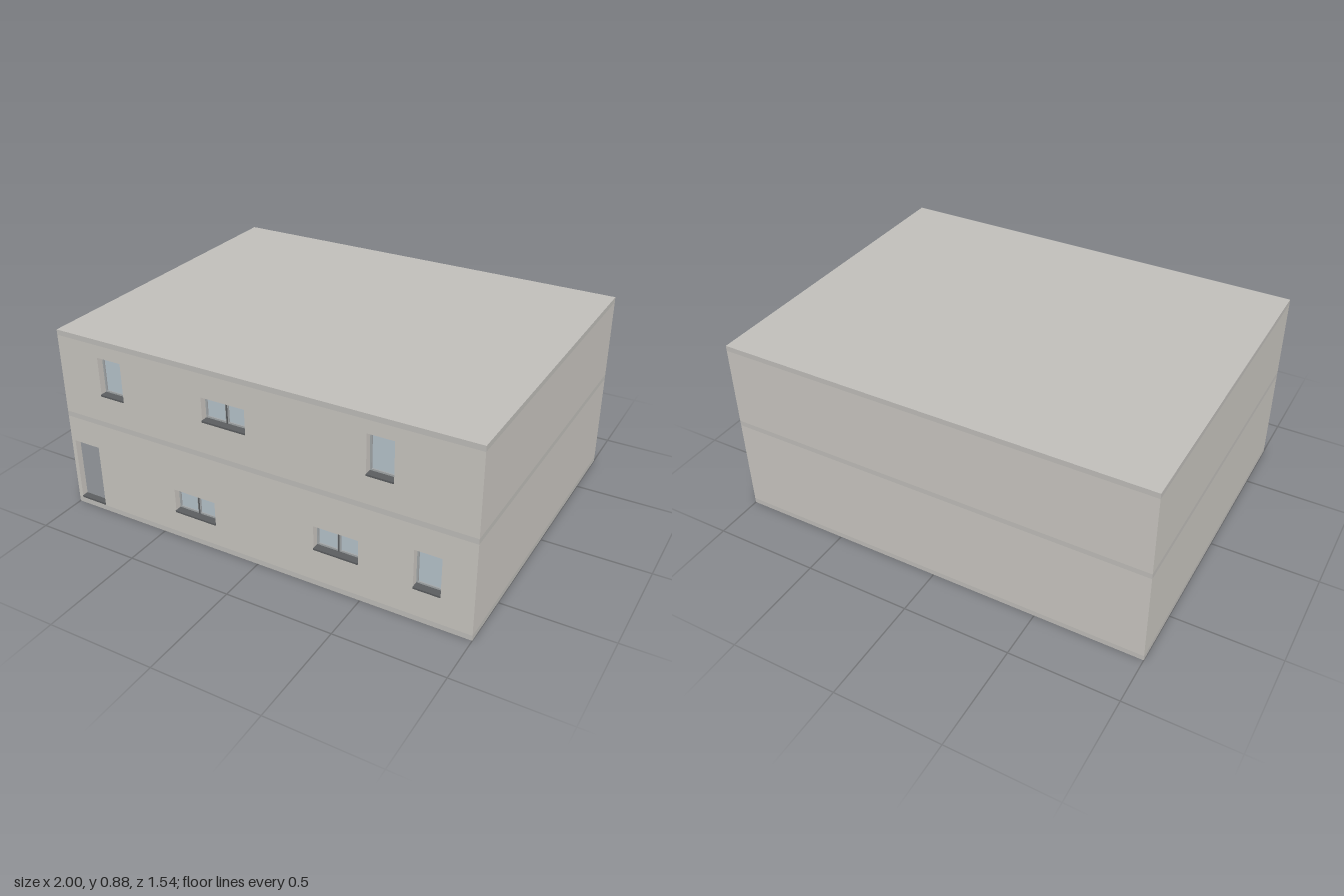
import * as THREE from 'three';

const mat = (color) => new THREE.MeshStandardMaterial({ color });
const wallMat = mat(0xccc9c3), slabMat = mat(0xc2c0bc), frameMat = mat(0xa4a8aa);
const glassMat = mat(0xb9c6ce), doorMat = mat(0x9a9ea2), darkMat = mat(0x5c5e60);

const FRONT = 0.766, BACK = -0.771, WALL = 0.05, RECESS = 0.03;
const DEPTH = FRONT - BACK, MID_Z = (FRONT + BACK) / 2;

// Openings as [x0, x1, y0, y1, panes], one list per storey
const storeys = [
  { y0: 0.025, y1: 0.46, windows: [
    [-0.425, -0.212, 0.13, 0.245, 2], [0.282, 0.49, 0.18, 0.295, 2], [0.737, 0.857, 0.157, 0.342, 1]],
    door: [-0.98, -0.843, 0.03, 0.335] },
  { y0: 0.485, y1: 0.86, windows: [
    [-0.785, -0.662, 0.615, 0.8, 1], [-0.245, -0.032, 0.635, 0.75, 2], [0.523, 0.643, 0.615, 0.8, 1]] },
];

// Box given by its two extremes on each axis
function block(name, x0, x1, y0, y1, z0, z1, material) {
  const mesh = new THREE.Mesh(new THREE.BoxGeometry(x1 - x0, y1 - y0, z1 - z0), material);
  mesh.position.set((x0 + x1) / 2, (y0 + y1) / 2, (z0 + z1) / 2);
  mesh.name = name;
  return mesh;
}

function trace(path, x0, x1, y0, y1) {
  path.moveTo(x0, y0);
  path.lineTo(x1, y0);
  path.lineTo(x1, y1);
  path.lineTo(x0, y1);
  path.closePath();
  return path;
}

// Rectangular panel pierced by rectangular holes
function panel(name, rect, holes, z0, depth, material) {
  const shape = trace(new THREE.Shape(), ...rect);
  holes.forEach((h) => shape.holes.push(trace(new THREE.Path(), ...h)));
  const geo = new THREE.ExtrudeGeometry(shape, { depth, bevelEnabled: false });
  const mesh = new THREE.Mesh(geo, material);
  mesh.position.z = z0;
  mesh.name = name;
  return mesh;
}

function makeWindow([x0, x1, y0, y1, panes]) {
  const g = new THREE.Group();
  g.name = 'window';
  const bar = 0.008, face = FRONT - RECESS, bottom = y0 + 0.008;
  const step = (x1 - x0) / panes, holes = [];
  for (let i = 0; i < panes; i++) {
    holes.push([x0 + i * step + bar, x0 + (i + 1) * step - bar, bottom + bar, y1 - bar]);
  }
  g.add(panel('windowFrame', [x0, x1, bottom, y1], holes, face - 0.015, 0.015, frameMat));
  g.add(block('glass', x0, x1, bottom, y1, face - 0.012, face - 0.006, glassMat));
  if (panes > 1) {
    const mid = (x0 + x1) / 2;
    g.add(block('mullion', mid - 0.003, mid + 0.003, bottom, y1, face - 0.01, face + 0.003, darkMat));
  }
  g.add(block('sill', x0, x1, y0, bottom, FRONT - WALL, FRONT + 0.005, darkMat));
  return g;
}

function makeDoor([x0, x1, y0, y1]) {
  const g = new THREE.Group();
  g.name = 'door';
  const face = FRONT - RECESS;
  g.add(block('doorLeaf', x0, x1, y0, y1, face - 0.015, face, doorMat));
  g.add(block('threshold', x0, x1, y0 - 0.003, y0 + 0.006, FRONT - WALL, FRONT + 0.001, darkMat));
  // knob on the free edge
  const knob = new THREE.Mesh(new THREE.SphereGeometry(0.005, 12, 8), darkMat);
  knob.position.set(x1 - 0.012, y0 + 0.14, face + 0.005);
  knob.name = 'doorKnob';
  g.add(knob);
  return g;
}

export function createModel() {
  const house = new THREE.Group();
  house.name = 'house';

  // Ground, middle and roof slabs
  [['groundSlab', 0, 0.025], ['middleSlab', 0.46, 0.485], ['roofSlab', 0.86, 0.885]].forEach(([name, y0, y1]) => {
    house.add(block(name, -1, 1, y0, y1, BACK, FRONT, slabMat));
  });

  // Walls of each storey with their openings
  storeys.forEach(({ y0, y1, windows, door }) => {
    const storey = new THREE.Group();
    storey.name = 'storey';
    const holes = windows.map((w) => w.slice(0, 4));
    if (door) holes.push(door);
    storey.add(panel('frontWall', [-1, 1, y0, y1], holes, FRONT - WALL, WALL, wallMat));
    storey.add(block('backWall', -1, 1, y0, y1, BACK, BACK + WALL, wallMat));
    [-1, 1].forEach((s) => {
      const side = new THREE.Mesh(new THREE.BoxGeometry(WALL, y1 - y0, DEPTH - 2 * WALL), wallMat);
      side.position.set(s * (1 - WALL / 2), (y0 + y1) / 2, MID_Z);
      side.name = s > 0 ? 'leftWall' : 'rightWall';
      storey.add(side);
    });
    windows.forEach((w) => storey.add(makeWindow(w)));
    if (door) storey.add(makeDoor(door));
    house.add(storey);
  });

  return house;
}
